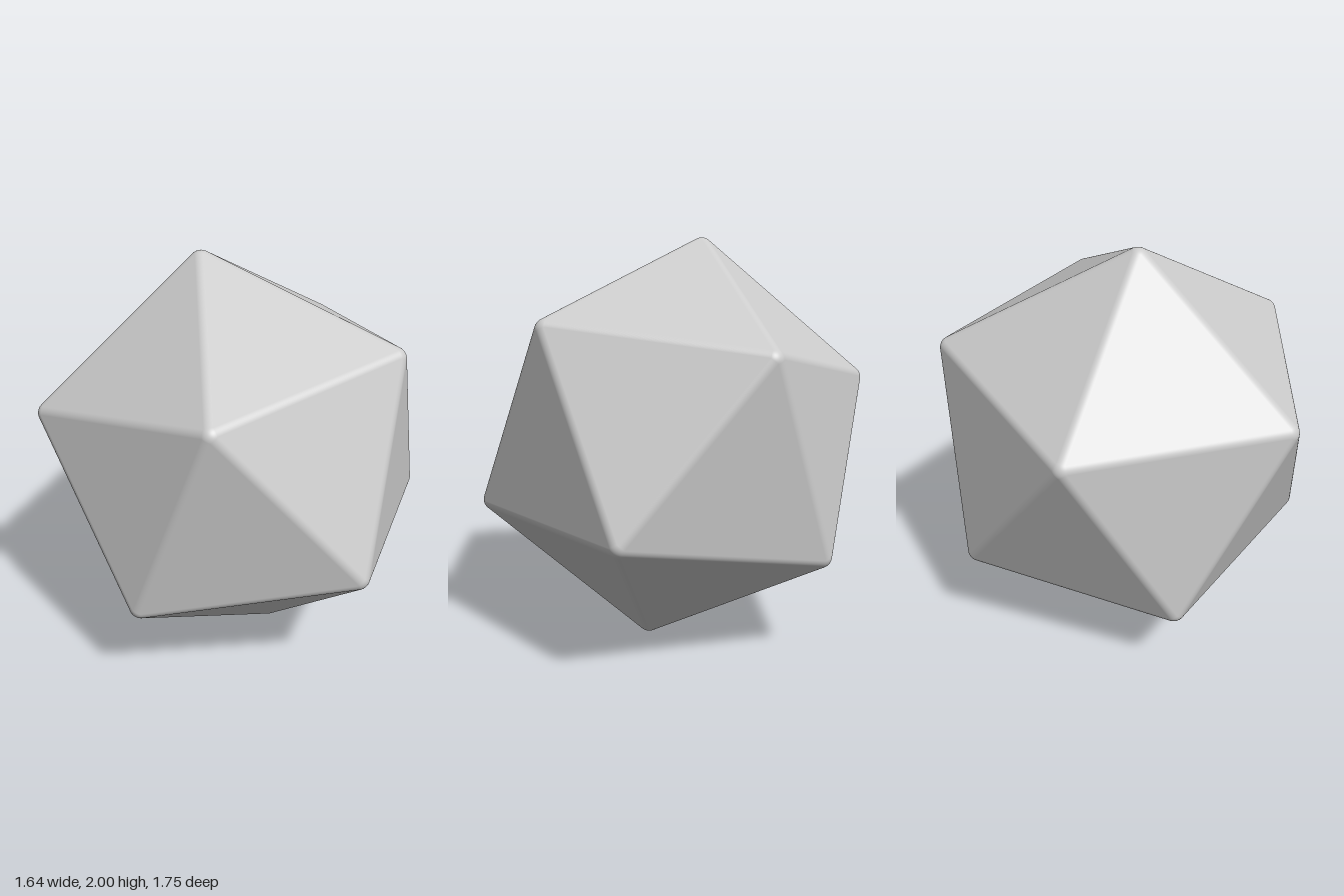
import * as THREE from 'three';

const INRADIUS = 0.82; // centre to face
const ROUND = 0.057;   // edge rounding radius
const STEPS = 6;       // segments per half edge
const TILT = -Math.atan(0.381966); // makes the side faces stand vertical

// Collects quads whose corners are { p: position, n: normal }
function surface(name) {
  const pos = [], nor = [];
  const tri = (...corners) => corners.forEach(({ p, n }) => {
    pos.push(p.x, p.y, p.z);
    nor.push(n.x, n.y, n.z);
  });
  return {
    tri,
    quad(a, b, c, d) { tri(a, b, c); tri(a, c, d); },
    mesh() {
      const g = new THREE.BufferGeometry();
      g.setAttribute('position', new THREE.Float32BufferAttribute(pos, 3));
      g.setAttribute('normal', new THREE.Float32BufferAttribute(nor, 3));
      const m = new THREE.Mesh(g, new THREE.MeshStandardMaterial({ color: 0xcccccc }));
      m.name = name;
      return m;
    },
  };
}

// Point on the rounding sphere around a core corner
const onSphere = (core, n) => ({ p: core.clone().addScaledVector(n, ROUND), n });
const blend = (a, b, t) => a.clone().lerp(b, t).normalize();

// Twenty tilted triangles of the inner core
function coreFaces() {
  const coreRadius = (INRADIUS - ROUND) / 0.794654;
  const g = new THREE.IcosahedronGeometry(coreRadius, 0).rotateZ(TILT);
  const at = i => new THREE.Vector3().fromBufferAttribute(g.attributes.position, i);
  return Array.from({ length: 20 }, (_, f) => {
    const v = [at(3 * f), at(3 * f + 1), at(3 * f + 2)];
    const n = v[0].clone().add(v[1]).add(v[2]).normalize();
    return { v, n };
  });
}

export function createModel() {
  const group = new THREE.Group();
  group.name = 'twentySidedDie';

  const faces = coreFaces();
  const has = (face, p) => face.v.some(q => q.distanceTo(p) < 1e-4);
  const panels = surface('flatFaces');
  const edges = surface('roundedEdges');
  const corners = surface('roundedCorners');

  for (const face of faces) {
    // Flat triangle
    panels.tri(...face.v.map(v => onSphere(v, face.n)));

    for (let e = 0; e < 3; e++) {
      const a = face.v[e], b = face.v[(e + 1) % 3];
      const neighbour = faces.find(f => f !== face && has(f, a) && has(f, b));
      const mid = blend(face.n, neighbour.n, 0.5);
      const aOut = a.clone().normalize(), bOut = b.clone().normalize();

      for (let i = 0; i < STEPS; i++) {
        // Half of the rounded edge, out to the line shared with the neighbour
        const d0 = blend(face.n, mid, i / STEPS);
        const d1 = blend(face.n, mid, (i + 1) / STEPS);
        edges.quad(onSphere(a, d0), onSphere(a, d1), onSphere(b, d1), onSphere(b, d0));

        // Spherical wedges at both ends, running in to each corner's tip
        for (let j = 0; j < STEPS; j++) {
          const s0 = j / STEPS, s1 = (j + 1) / STEPS;
          const pa = (d, s) => onSphere(a, blend(d, aOut, s));
          const pb = (d, s) => onSphere(b, blend(d, bOut, s));
          corners.quad(pa(d0, s0), pa(d0, s1), pa(d1, s1), pa(d1, s0));
          corners.quad(pb(d0, s0), pb(d1, s0), pb(d1, s1), pb(d0, s1));
        }
      }
    }
  }

  group.add(panels.mesh(), edges.mesh(), corners.mesh());
  group.children.forEach(m => { m.position.y = 1; });
  return group;
}
